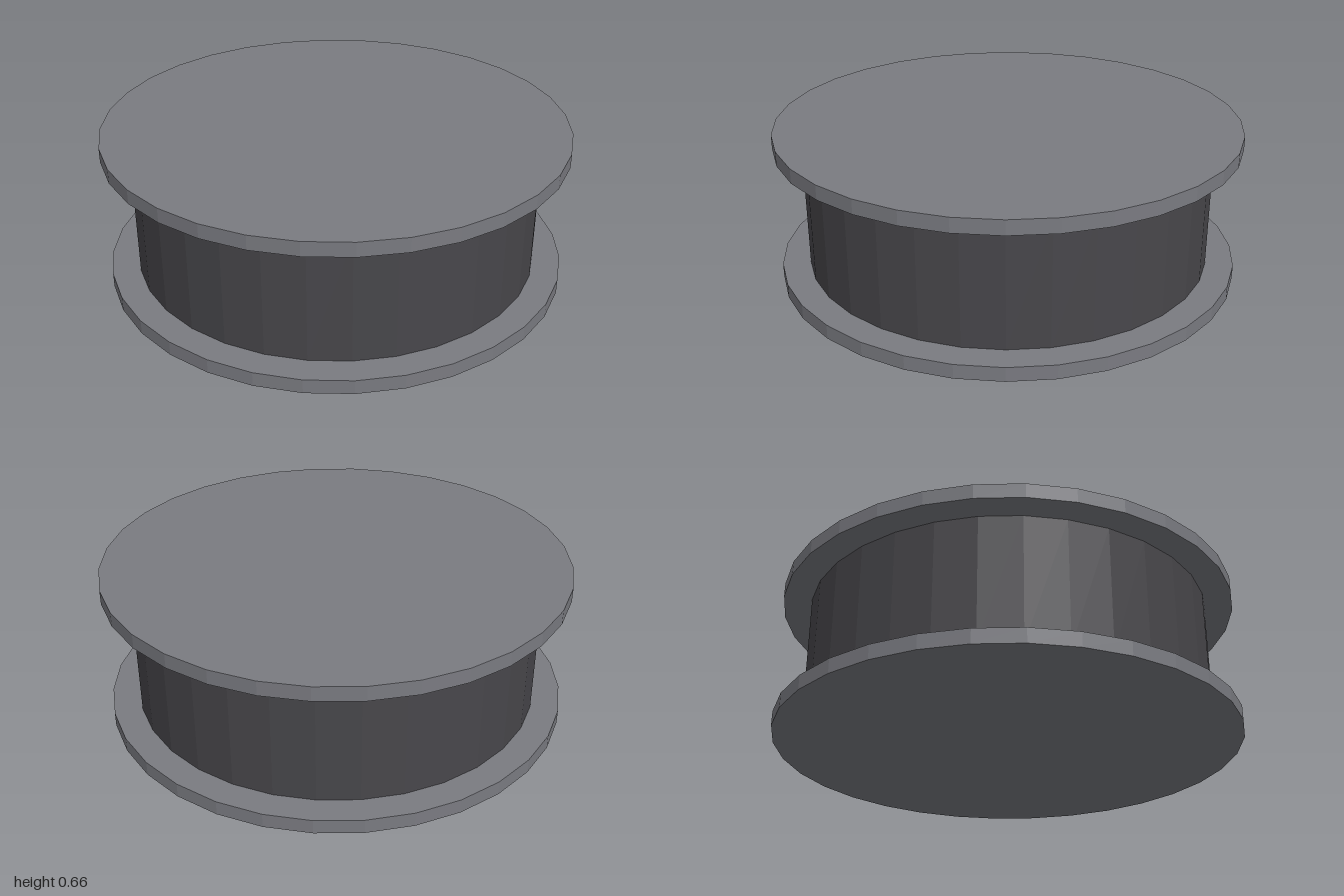
import * as THREE from 'three';

const SIDES = 32;
const FLANGE_RADIUS = 1, FLANGE_HEIGHT = 0.062;
const CORE_RADIUS = 0.88, CORE_HEIGHT = 0.54;

// Faceted disc standing on the given base height
function disc(name, radius, height, baseY, color) {
  const mesh = new THREE.Mesh(
    new THREE.CylinderGeometry(radius, radius, height, SIDES),
    new THREE.MeshStandardMaterial({ color, flatShading: true })
  );
  mesh.name = name;
  mesh.position.y = baseY + height / 2;
  return mesh;
}

export function createModel() {
  const model = new THREE.Group();
  model.name = 'spool';

  // Two wide flanges with a darker drum between them
  model.add(
    disc('bottomFlange', FLANGE_RADIUS, FLANGE_HEIGHT, 0, 0x7a7b81),
    disc('drum', CORE_RADIUS, CORE_HEIGHT, FLANGE_HEIGHT, 0x48474b),
    disc('topFlange', FLANGE_RADIUS, FLANGE_HEIGHT, FLANGE_HEIGHT + CORE_HEIGHT, 0x7a7b81)
  );
  return model;
}
